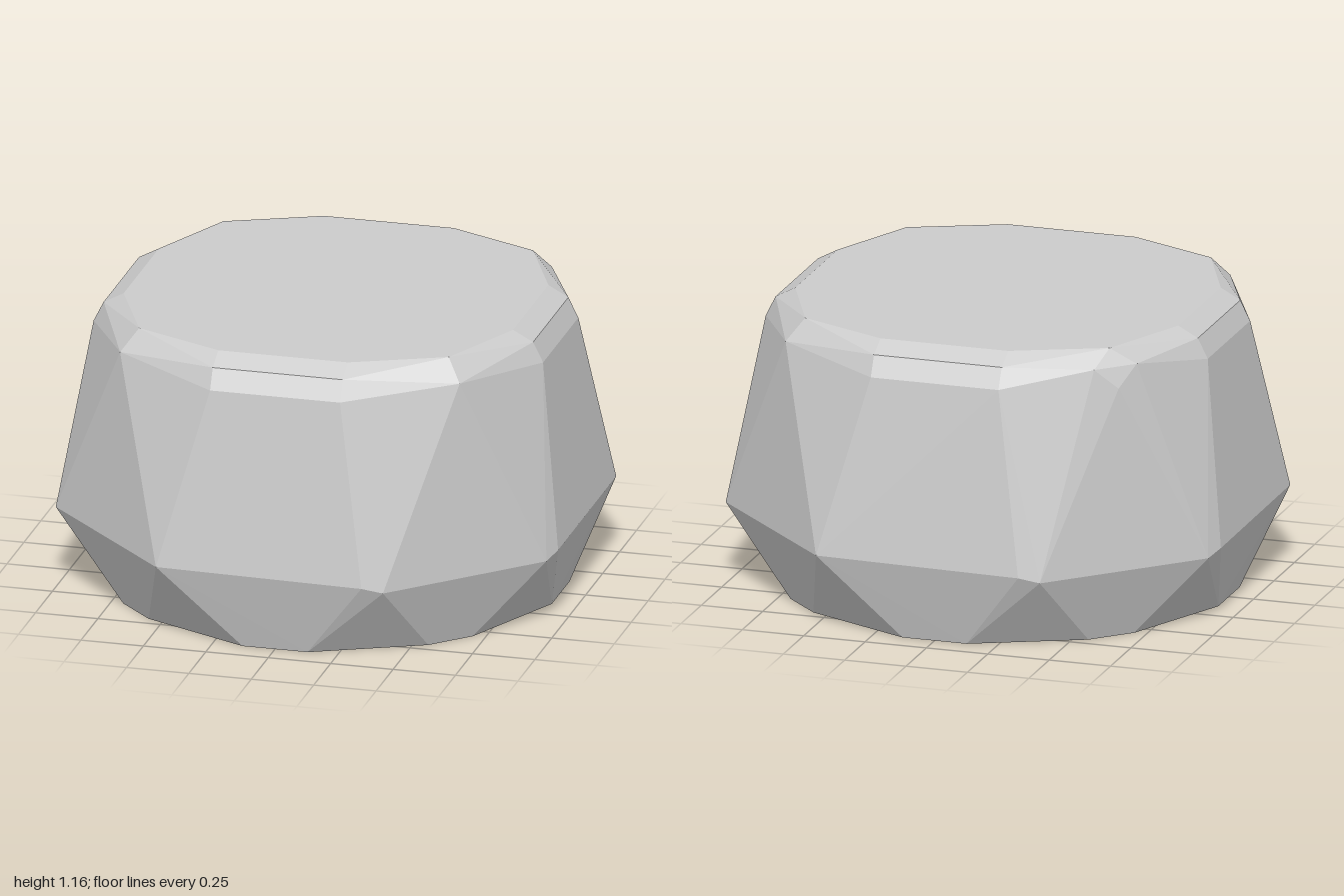
import * as THREE from 'three';
import { ConvexGeometry } from 'three/addons/geometries/ConvexGeometry.js';

// Faceted, flat-topped block: stacked rings of corner points wrapped in a convex skin.
export function createModel() {
  const points = [];
  const add = (x, y, z) => points.push(new THREE.Vector3(x, y, z));
  // a point and its copy across the corner's diagonal
  const pair = (a, y, b, sx, sz) => {
    add(a * sx, y, b * sz);
    add(b * sx, y, a * sz);
  };

  for (const sx of [-1, 1]) {
    for (const sz of [-1, 1]) {
      // base
      pair(0.13, 0, 0.9, sx, sz);
      pair(0.56, 0, 0.7, sx, sz);

      // belt: sharp corners on one diagonal, chipped corners on the other
      if (sx !== sz) {
        pair(0.45, 0.33, 1, sx, sz);
      } else {
        pair(0.37, 0.315, 0.99, sx, sz);
        pair(0.45, 0.295, 0.965, sx, sz);
        add(0.7 * sx, 0.45, 0.7 * sz);
      }

      // rounded shoulder
      pair(0.26, 1.04, 0.9, sx, sz);
      pair(0.26, 1.12, 0.86, sx, sz);
      if (sx < 0 && sz < 0) {
        pair(0.59, 1.1, 0.72, sx, sz);
        add(0.675 * sx, 1.02, 0.675 * sz);
      } else {
        add(0.68 * sx, 1.08, 0.68 * sz);
      }

      // flat top
      pair(0.26, 1.163, 0.78, sx, sz);
      pair(0.54, 1.163, 0.65, sx, sz);
      add(0.62 * sx, 1.163, 0.62 * sz);
    }
  }

  const block = new THREE.Mesh(
    new ConvexGeometry(points),
    new THREE.MeshStandardMaterial({ color: 0xcccccc, flatShading: true })
  );
  block.name = 'facetedBlock';
  const group = new THREE.Group();
  group.name = 'stoneBlock';
  group.add(block);
  return group;
}
